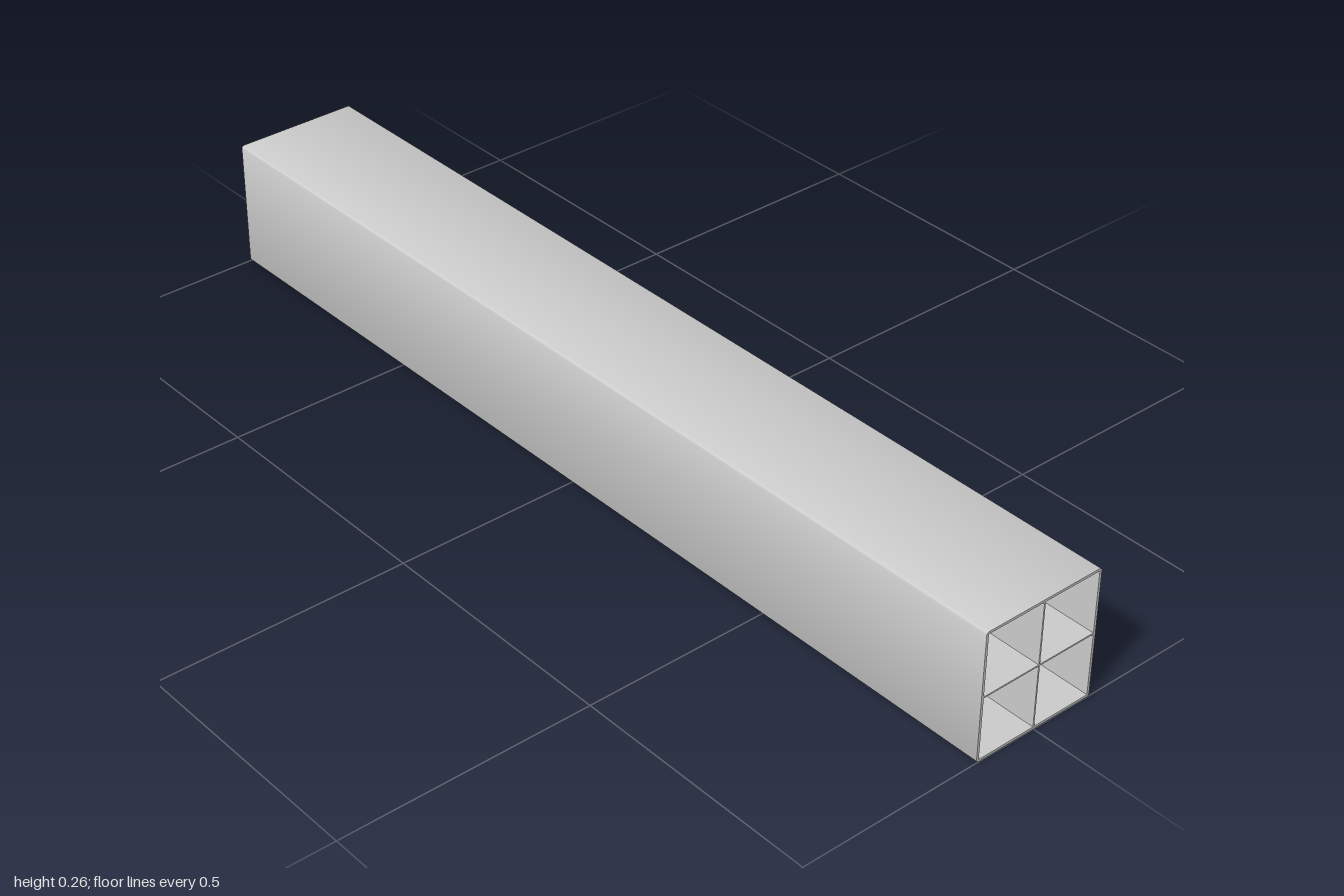
import * as THREE from 'three';
import { toCreasedNormals } from 'three/addons/utils/BufferGeometryUtils.js';

const SIZE = 0.258;     // outer width and height
const LENGTH = 2;
const WALL = 0.005;     // outer wall thickness
const WEB = 0.003;      // inner cross thickness
const RADIUS = 0.006;   // outer corner radius

// Square outline with rounded corners, centred on the origin
function roundedSquare(size, r) {
  const h = size / 2, c = h - r;
  const s = new THREE.Shape();
  s.absarc(c, c, r, 0, Math.PI / 2);
  s.absarc(-c, c, r, Math.PI / 2, Math.PI);
  s.absarc(-c, -c, r, Math.PI, Math.PI * 1.5);
  s.absarc(c, -c, r, Math.PI * 1.5, Math.PI * 2);
  s.closePath();
  return s;
}

export function createModel() {
  const group = new THREE.Group();
  group.name = 'dividedTube';

  // Section: square tube with four square channels left by a cross web
  const section = roundedSquare(SIZE, RADIUS);
  const a = WEB / 2, b = SIZE / 2 - WALL;
  for (const sx of [-1, 1]) {
    for (const sy of [-1, 1]) {
      section.holes.push(new THREE.Path([
        new THREE.Vector2(sx * a, sy * a),
        new THREE.Vector2(sx * b, sy * a),
        new THREE.Vector2(sx * b, sy * b),
        new THREE.Vector2(sx * a, sy * b),
      ]));
    }
  }

  // Extrude the section along the full length, open at both ends
  const geometry = new THREE.ExtrudeGeometry(section, {
    depth: LENGTH, bevelEnabled: false, curveSegments: 6,
  });
  geometry.translate(0, SIZE / 2, -LENGTH / 2);

  const tube = new THREE.Mesh(
    toCreasedNormals(geometry, 0.5),
    new THREE.MeshStandardMaterial({ color: 0xcccccc }),
  );
  tube.name = 'tubeWithCrossWeb';
  group.add(tube);
  return group;
}
